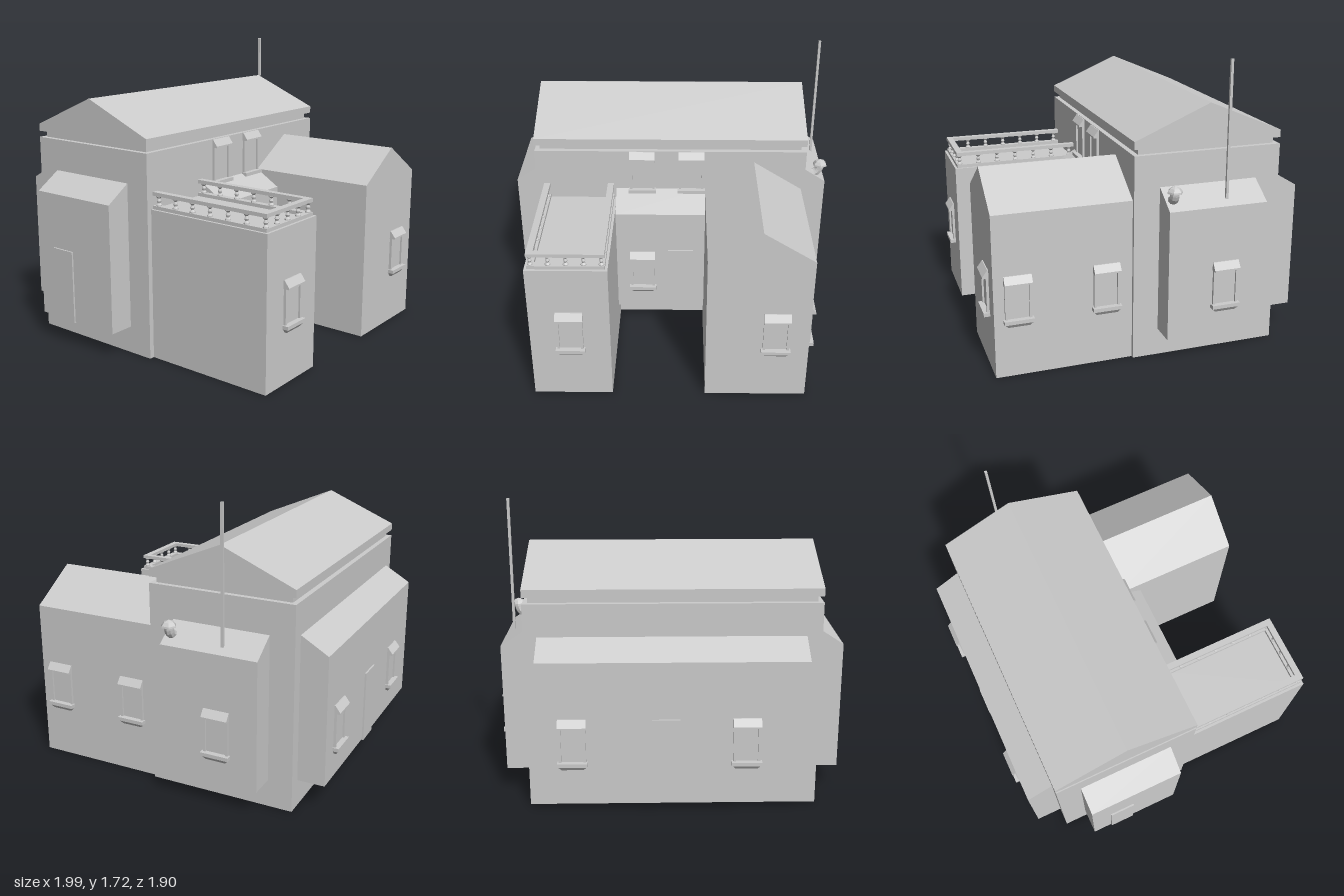
import * as THREE from 'three';

const solid = new THREE.MeshStandardMaterial({ color: 0xcccccc, flatShading: true });
const open = new THREE.MeshStandardMaterial({ color: 0xcccccc, flatShading: true, side: THREE.DoubleSide });

function add(parent, name, geometry, x = 0, y = 0, z = 0, material = solid) {
  const mesh = new THREE.Mesh(geometry, material);
  mesh.name = name;
  mesh.position.set(x, y, z);
  parent.add(mesh);
  return mesh;
}

// Box given by its min and max corners
function box(parent, name, [x0, y0, z0], [x1, y1, z1]) {
  return add(parent, name, new THREE.BoxGeometry(x1 - x0, y1 - y0, z1 - z0),
    (x0 + x1) / 2, (y0 + y1) / 2, (z0 + z1) / 2);
}

// Thin shell from convex faces, corners counter-clockwise seen from outside
function shell(parent, name, faces) {
  const pos = [];
  for (const f of faces)
    for (let i = 1; i < f.length - 1; i++) pos.push(...f[0], ...f[i], ...f[i + 1]);
  const g = new THREE.BufferGeometry();
  g.setAttribute('position', new THREE.Float32BufferAttribute(pos, 3));
  g.computeVertexNormals();
  return add(parent, name, g, 0, 0, 0, open);
}

const shapeOf = pts => new THREE.Shape(pts.map(p => new THREE.Vector2(...p)));

// Profile of (outward z, y) points extruded along x, centred on x = 0
function alongX(profile, width) {
  const g = new THREE.ExtrudeGeometry(shapeOf(profile.map(([z, y]) => [-z, y])), { depth: width, bevelEnabled: false });
  g.translate(0, 0, -width / 2);
  g.rotateY(Math.PI / 2);
  return g;
}

// Group on a wall, whose local +z points out of the wall
function onWall(parent, name, x, y, z, angle) {
  const g = new THREE.Group();
  g.name = name;
  g.position.set(x, y, z);
  g.rotation.y = angle;
  parent.add(g);
  return g;
}

// Window: pane, jambs, sloped hood and a sill tapering downwards
function addWindow(parent, x, y, z, angle) {
  const w = onWall(parent, 'window', x, y, z, angle);
  box(w, 'pane', [-0.065, 0.04, -0.005], [0.065, 0.26, 0.004]);
  for (const s of [-1, 1])
    add(w, 'jamb', new THREE.BoxGeometry(0.014, 0.21, 0.03), s * 0.068, 0.145, 0);
  add(w, 'hood', alongX([[-0.005, 0.295], [0.006, 0.295], [0.035, 0.256], [0.035, 0.247], [-0.005, 0.247]], 0.155));
  box(w, 'sill', [-0.084, 0.024, -0.005], [0.084, 0.045, 0.036]);
  const under = new THREE.BoxGeometry(0.16, 0.026, 0.036);
  const p = under.attributes.position;
  for (let i = 0; i < p.count; i++)
    if (p.getY(i) < 0) {
      p.setX(i, p.getX(i) * 0.76);
      if (p.getZ(i) > 0) p.setZ(i, 0);
    }
  add(w, 'sillUnderside', under, 0, 0.012, 0.013);
}

function addDoor(parent, x, z, angle) {
  box(onWall(parent, 'door', x, 0.155, z, angle), 'doorLeaf', [-0.078, 0, -0.005], [0.078, 0.435, 0.01]);
}

// Raised bay with a single-pitch roof, leaning against a wall
function addBay(parent, name, x, z, angle, width, depth, low, high) {
  const b = onWall(parent, name, x, 0, z, angle);
  add(b, 'bayBody', alongX([[0, 0.16], [depth, 0.16], [depth, low], [0, high]], width));
}

export function createModel() {
  const house = new THREE.Group();
  house.name = 'house';
  const X0 = -0.84, X1 = 0.805, ZB = -0.755, ZF = 0.12, ZW = 0.91, H = 1.2;
  const L0 = -0.81, L1 = -0.35, LH = 0.88;
  const R0 = 0.195, R1 = 0.785, RM = 0.49, RE = 0.945, RP = 1.13;

  // Main block, hollow underneath, with openings into the two wings
  shell(house, 'mainWalls', [
    [[X1, 0, ZF], [X1, 0, ZB], [X1, H, ZB], [X1, H, ZF]],
    [[X0, 0, ZB], [X0, 0, ZF], [X0, H, ZF], [X0, H, ZB]],
    [[X1, 0, ZB], [X0, 0, ZB], [X0, H, ZB], [X1, H, ZB]],
    [[X0, H, ZF], [X1, H, ZF], [X1, H, ZB], [X0, H, ZB]],
  ]);
  add(house, 'mainFrontWall', new THREE.ShapeGeometry(shapeOf([
    [X0, 0], [L0, 0], [L0, LH], [L1, LH], [L1, 0], [R0, 0], [R0, RE], [RM, RP],
    [R1, RE], [R1, 0], [X1, 0], [X1, H], [X0, H],
  ])), 0, 0, ZF, open);

  // Recessed band and gabled main roof
  box(house, 'roofNeck', [X0 + 0.03, H, ZB + 0.03], [X1 - 0.03, 1.237, ZF - 0.03]);
  add(house, 'mainRoof', alongX([[ZF, 1.237], [ZF, 1.28], [-0.32, 1.466], [ZB, 1.28], [ZB, 1.237]], X1 - X0), (X0 + X1) / 2);

  // Flat-topped wing
  shell(house, 'terraceWing', [
    [[L0, 0, ZW], [L1, 0, ZW], [L1, LH, ZW], [L0, LH, ZW]],
    [[L1, 0, ZW], [L1, 0, ZF], [L1, LH, ZF], [L1, LH, ZW]],
    [[L0, 0, ZF], [L0, 0, ZW], [L0, LH, ZW], [L0, LH, ZF]],
    [[L0, LH, ZW], [L1, LH, ZW], [L1, LH, ZF], [L0, LH, ZF]],
  ]);

  // Gabled wing
  shell(house, 'gableWing', [
    [[R0, 0, ZW], [R1, 0, ZW], [R1, RE, ZW], [RM, RP, ZW], [R0, RE, ZW]],
    [[R1, 0, ZW], [R1, 0, ZF], [R1, RE, ZF], [R1, RE, ZW]],
    [[R0, 0, ZF], [R0, 0, ZW], [R0, RE, ZW], [R0, RE, ZF]],
    [[R1, RE, ZW], [R1, RE, ZF], [RM, RP, ZF], [RM, RP, ZW]],
    [[R0, RE, ZF], [R0, RE, ZW], [RM, RP, ZW], [RM, RP, ZF]],
  ]);

  // Raised bays on all four sides
  const Q = Math.PI / 2;
  addBay(house, 'frontBay', (L1 + R0) / 2, ZF, 0, R0 - L1, 0.155, 0.848, 0.943);
  addBay(house, 'leftBay', X1, -0.32, Q, 0.58, 0.15, 0.915, 1.013);
  addBay(house, 'rightBay', X0, -0.32, -Q, 0.58, 0.15, 0.915, 1.013);
  addBay(house, 'backBay', -0.012, ZB, Math.PI, 1.485, 0.16, 0.918, 1.013);

  // Windows: x, base y, z, wall direction
  [
    [-0.58, 0.3, ZW, 0], [0.595, 0.3, ZW, 0], [-0.19, 0.283, 0.275, 0],
    [-0.19, 0.903, ZF, 0], [0.11, 0.903, ZF, 0],
    [R1, 0.3, 0.775, Q], [R1, 0.3, 0.272, Q], [0.955, 0.3, -0.37, Q],
    [-0.42, 0.3, -0.915, Math.PI], [0.54, 0.3, -0.915, Math.PI],
  ].forEach(w => addWindow(house, ...w));
  addDoor(house, 0.047, 0.275, 0);
  addDoor(house, 0.025, -0.915, Math.PI);
  addDoor(house, -0.99, -0.412, -Q);

  // Terrace balustrade: U-shaped rails and turned balusters
  const railing = new THREE.Group();
  railing.name = 'balustrade';
  house.add(railing);
  const a = L0 + 0.015, b = L1 - 0.015, f = ZW - 0.015, t = 0.038;
  const u = shapeOf([[a, -ZF], [a, -f], [b, -f], [b, -ZF], [b - t, -ZF], [b - t, t - f], [a + t, t - f], [a + t, -ZF]]);
  for (const [name, y, h] of [['bottomRail', LH, 0.02], ['topRail', 0.957, 0.021]]) {
    const g = new THREE.ExtrudeGeometry(u, { depth: h, bevelEnabled: false });
    g.rotateX(-Q);
    add(railing, name, g, 0, y, 0);
  }
  const turned = new THREE.LatheGeometry(
    [[0.016, 0], [0.016, 0.008], [0.008, 0.018], [0.013, 0.03], [0.007, 0.044], [0.016, 0.054], [0.016, 0.06]]
      .map(p => new THREE.Vector2(...p)), 8);
  const xa = a + t / 2, xb = b - t / 2, zf = f - t / 2;
  const baluster = (x, z) => add(railing, 'baluster', turned, x, 0.898, z, open);
  for (let i = 1; i < 4; i++) baluster(xa + (xb - xa) * i / 4, zf);
  for (let i = 0; i < 7; i++)
    for (const x of [xa, xb]) baluster(x, zf - i * (zf - ZF - 0.03) / 6);

  // Antenna mast
  box(house, 'antenna', [0.898, 0.94, -0.393], [0.913, 1.717, -0.378]);

  // Bent vent pipe with a faceted cap
  const bend = new THREE.QuadraticBezierCurve3(
    new THREE.Vector3(0.875, 0.955, -0.07), new THREE.Vector3(0.922, 0.965, -0.07), new THREE.Vector3(0.922, 1.015, -0.07));
  add(house, 'ventPipe', new THREE.TubeGeometry(bend, 5, 0.027, 8), 0, 0, 0, open);
  add(house, 'ventCap', new THREE.LatheGeometry(
    [[0, 0], [0.045, 0], [0.043, 0.01], [0.028, 0.028], [0, 0.04]].map(p => new THREE.Vector2(...p)), 6),
    0.922, 1.012, -0.07);

  return house;
}
